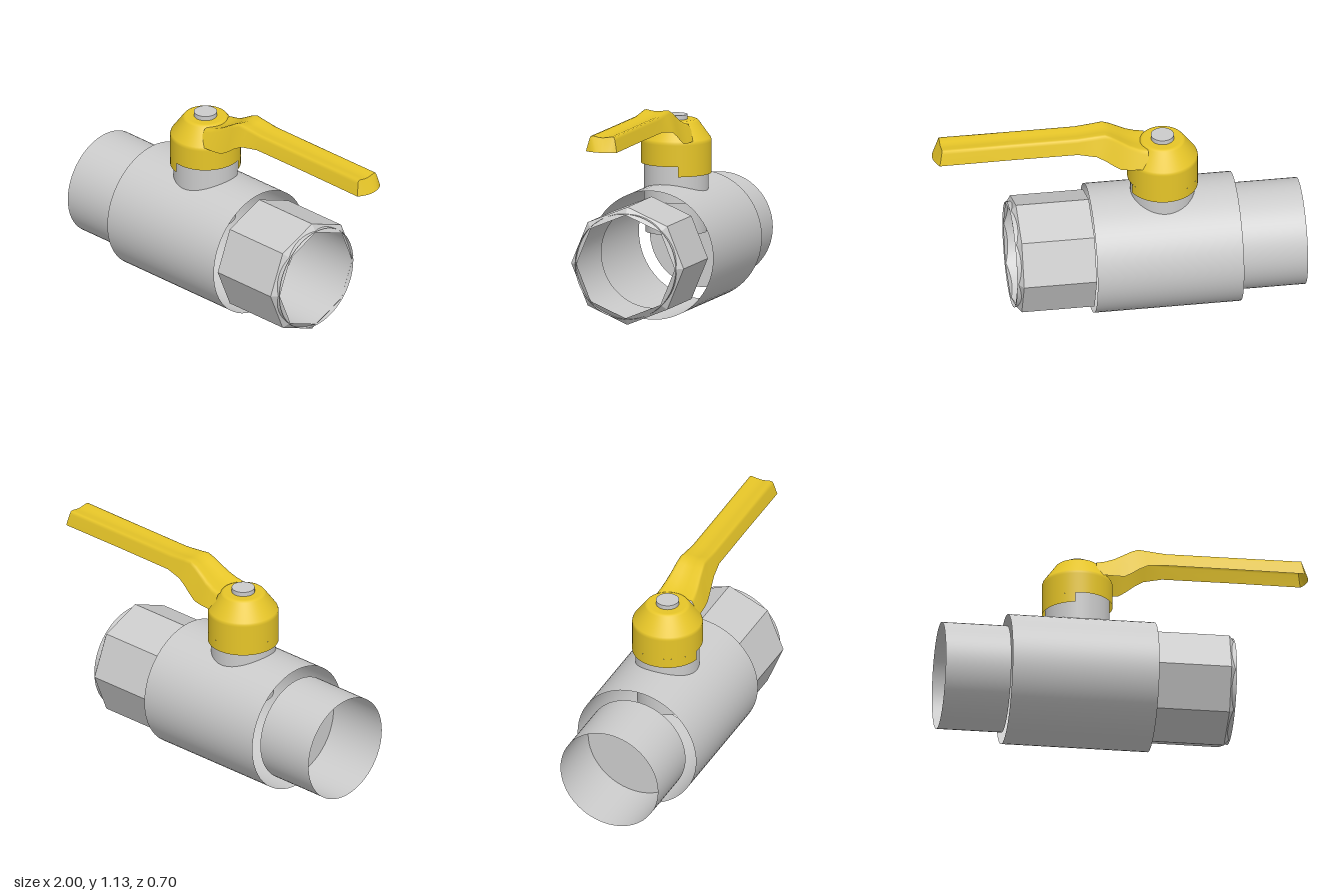
import * as THREE from 'three';

const AXIS_Y = 0.35; // height of the pipe axis
const STEM_X = -0.25; // position of the vertical stem

const grey = new THREE.MeshStandardMaterial({ color: 0xcccccc, side: THREE.DoubleSide });
const greyFlat = new THREE.MeshStandardMaterial({ color: 0xcccccc, side: THREE.DoubleSide, flatShading: true });
const yellow = new THREE.MeshStandardMaterial({ color: 0xe6c528, side: THREE.DoubleSide });

function add(parent, name, geometry, material) {
  const mesh = new THREE.Mesh(geometry, material);
  mesh.name = name;
  parent.add(mesh);
  return mesh;
}

// Open tube along x, from x0 (radius r0) to x1 (radius r1)
function tubeX(parent, name, x0, x1, r0, r1, sides = 64) {
  const geometry = new THREE.CylinderGeometry(r1, r0, x1 - x0, sides, 1, true);
  geometry.rotateZ(-Math.PI / 2);
  geometry.translate((x0 + x1) / 2, AXIS_Y, 0);
  return add(parent, name, geometry, sides < 12 ? greyFlat : grey);
}

// Upright cylinder on the stem axis
function post(parent, name, y0, y1, r) {
  const geometry = new THREE.CylinderGeometry(r, r, y1 - y0, 48);
  geometry.translate(STEM_X, (y0 + y1) / 2, 0);
  return add(parent, name, geometry, grey);
}

// Surface through rows of points
function loft(rows) {
  const n = rows[0].length;
  const index = [];
  for (let i = 0; i < rows.length - 1; i++) {
    for (let j = 0; j < n - 1; j++) {
      const a = i * n + j;
      const b = a + n;
      index.push(a, a + 1, b, a + 1, b + 1, b);
    }
  }
  const geometry = new THREE.BufferGeometry();
  geometry.setAttribute('position', new THREE.Float32BufferAttribute(rows.flat(2), 3));
  geometry.setIndex(index);
  geometry.computeVertexNormals();
  return geometry;
}

// Cross-section of the pressed lever: splayed walls and a slightly hollow top
function leverSection([x, bottom, top, wBottom, wTop], slant = 0) {
  const half = [[wBottom, bottom], [wTop * 1.1, top - 0.018], [wTop, top - 0.002], [wTop * 0.8, top], [wTop * 0.35, top - 0.006]];
  const point = (z, y) => [x + slant * (top - y) / (top - bottom), y, z];
  return [
    ...half.map(([z, y]) => point(-z, y)),
    point(0, top - 0.008),
    ...half.reverse().map(([z, y]) => point(z, y)),
  ];
}

export function createModel() {
  const model = new THREE.Group();
  model.name = 'ballValve';

  // Horizontal pipe parts
  const pipe = new THREE.Group();
  pipe.name = 'valveBody';
  model.add(pipe);
  tubeX(pipe, 'leftPipe', -1, -0.645, 0.288, 0.288);
  tubeX(pipe, 'mainBarrel', -0.645, 0.15, 0.35, 0.35);
  tubeX(pipe, 'hexSleeve', 0.15, 0.578, 0.286, 0.286).name = 'rightSleeve';
  tubeX(pipe, 'octagonalNut', 0.15, 0.545, 0.32, 0.32, 8);
  tubeX(pipe, 'nutChamfer', 0.545, 0.575, 0.32, 0.28, 8);

  // Wall closing the bore
  const wall = add(pipe, 'innerWall', new THREE.CircleGeometry(0.288, 64), grey);
  wall.rotation.y = Math.PI / 2;
  wall.position.set(-0.645, AXIS_Y, 0);

  // Stem
  post(model, 'lowerStem', 0.425, 0.66, 0.165);
  post(model, 'neck', 0.6, 0.83, 0.173);
  post(model, 'stemPin', 0.9, 1.06, 0.062);

  // Lever cap with its partial stop skirt
  const lever = new THREE.Group();
  lever.name = 'lever';
  model.add(lever);
  const profile = [[0.19, 0.8], [0.19, 0.915], [0.19, 0.925], [0.186, 0.936], [0.122, 1.025], [0.117, 1.031], [0.108, 1.035], [0.1, 1.035], [0, 1.035]];
  const cap = add(lever, 'leverCap', new THREE.LatheGeometry(profile.map(([r, y]) => new THREE.Vector2(r, y)), 64), yellow);
  cap.position.x = STEM_X;
  const skirt = add(lever, 'stopSkirt', new THREE.CylinderGeometry(0.19, 0.19, 0.055, 48, 1, true, 0.38 + Math.PI / 2, 4.15), yellow);
  skirt.position.set(STEM_X, 0.7725, 0);

  // Handle: x, bottom, top, half width at bottom, half width at top
  const stations = [
    [-0.16, 0.935, 1.025, 0.14, 0.1],
    [-0.11, 0.935, 1.037, 0.138, 0.095],
    [-0.06, 0.935, 1.058, 0.134, 0.088],
    [-0.01, 0.938, 1.088, 0.127, 0.08],
    [0.03, 0.962, 1.112, 0.121, 0.075],
    [0.07, 0.992, 1.13, 0.115, 0.07],
    [0.12, 1.02, 1.125, 0.106, 0.067],
    [0.22, 1.034, 1.115, 0.09, 0.065],
    [0.6, 1.034, 1.115, 0.088, 0.065],
  ];
  const end = leverSection([0.955, 1.032, 1.115, 0.088, 0.066], 0.015);
  add(lever, 'handle', loft([...stations.map((s) => leverSection(s)), end]), yellow);

  // Slanted, rounded end of the handle
  const lip = end.map(([, , z], j) => {
    const t = (j / (end.length - 1)) * 2 - 1;
    return [0.97 + 0.03 * (1 - t * t), 1.032, t * 0.088];
  });
  add(lever, 'handleEnd', loft([end, lip]), yellow);

  return model;
}
